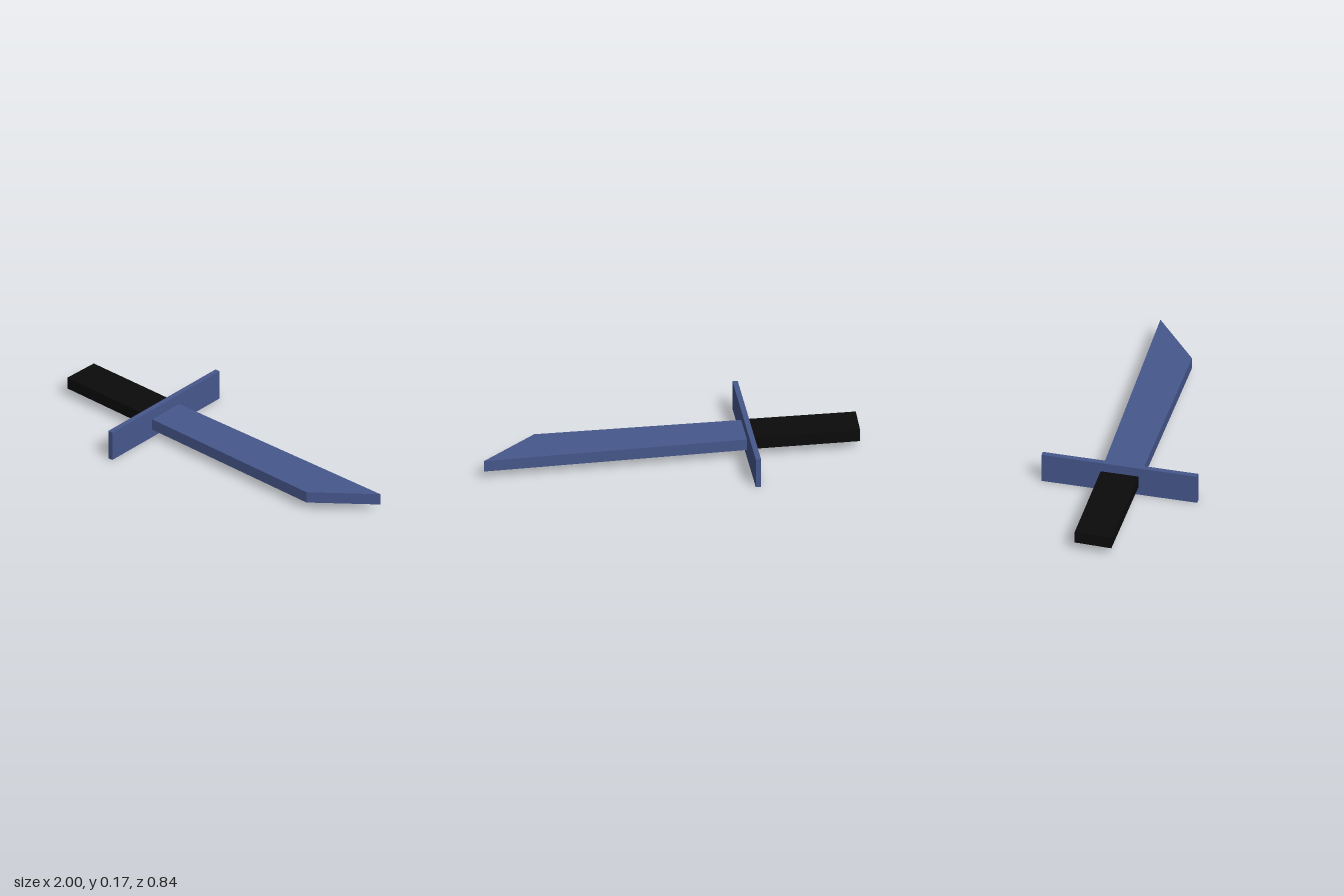
import * as THREE from 'three';

// Flat slab: an outline of [x, z] corners raised from y0 to y1
function slab(name, corners, y0, y1, material) {
  const shape = new THREE.Shape(corners.map(([x, z]) => new THREE.Vector2(x, -z)));
  const geometry = new THREE.ExtrudeGeometry(shape, { depth: y1 - y0, bevelEnabled: false });
  geometry.rotateX(-Math.PI / 2).translate(0, y0, 0);
  const mesh = new THREE.Mesh(geometry, material);
  mesh.name = name;
  return mesh;
}

export function createModel() {
  const group = new THREE.Group();
  group.name = 'sword';
  const blue = new THREE.MeshStandardMaterial({ color: 0x46578c, flatShading: true });
  const black = new THREE.MeshStandardMaterial({ color: 0x0b0b0b, flatShading: true });

  // Blade with a slanted tip
  group.add(slab('blade', [[-0.41, 0.108], [0.705, 0.08], [1, -0.175], [-0.415, -0.102]], 0.046, 0.109, blue));

  // Grip, butted against the guard
  group.add(slab('grip', [[-1, 0.118], [-0.413, 0.104], [-0.42, -0.101], [-1, -0.082]], 0.049, 0.115, black));

  // Crossguard, turned slightly with the sword
  const guard = new THREE.Mesh(new THREE.BoxGeometry(0.028, 0.167, 0.842), blue);
  guard.name = 'crossguard';
  guard.position.set(-0.41, 0.0835, 0);
  guard.rotation.y = 0.032;
  group.add(guard);

  return group;
}
